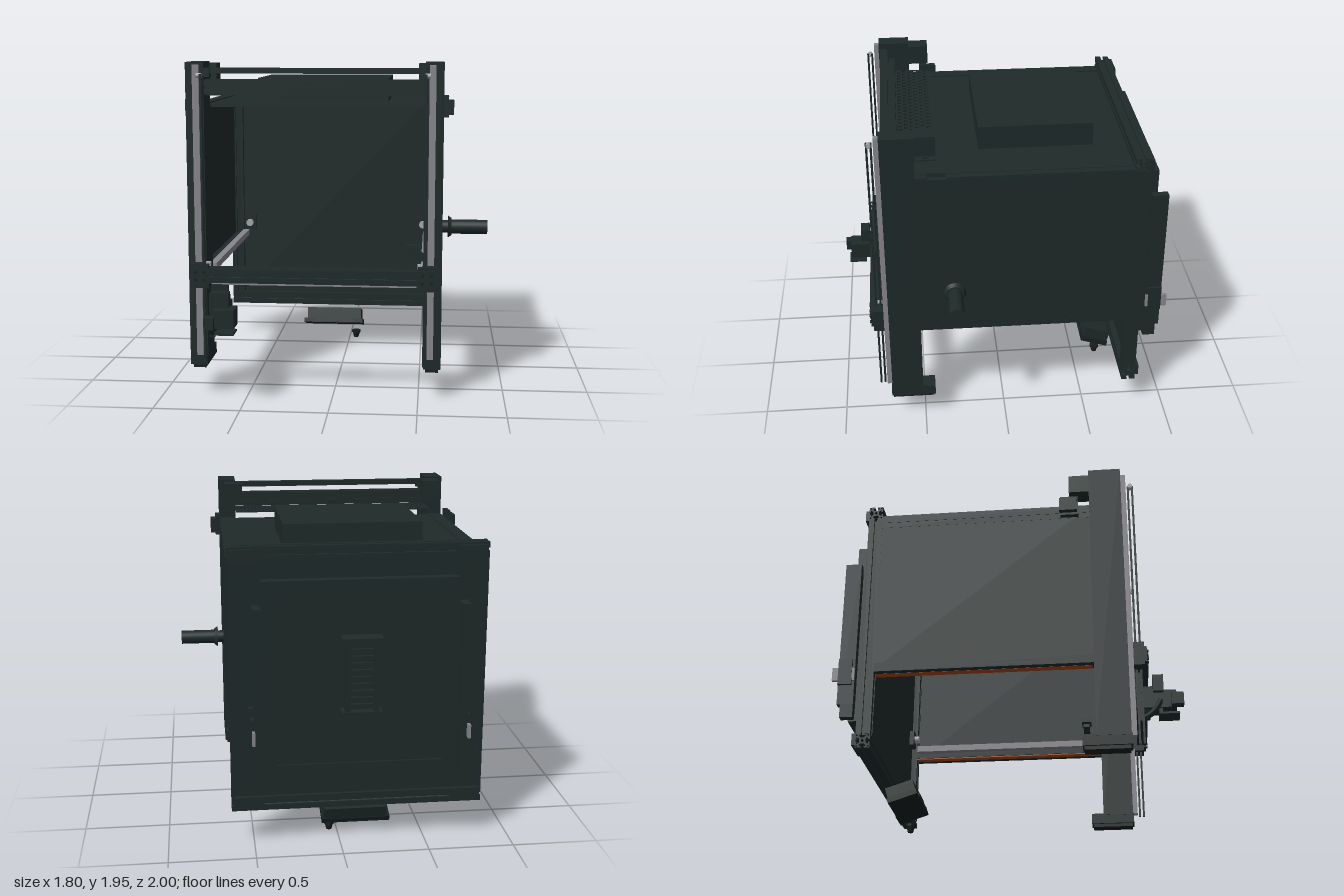
import * as THREE from 'three';

const mat = (name, color) => {
  const m = new THREE.MeshStandardMaterial({ color });
  m.name = name;
  return m;
};

export function createModel() {
  const model = new THREE.Group();
  model.name = 'enclosedGantryMachine';
  const dark = mat('dark slate', 0x1e2a29);
  const black = mat('fitting black', 0x171f1e);
  const steel = mat('rail grey', 0x86868d);
  const silver = mat('light metal', 0xa6a8aa);
  const orange = mat('orange seal', 0xa8481c);
  const CX = -0.105; // mirror plane of the frame

  const add = (name, geo, m, parent = model) => {
    const mesh = new THREE.Mesh(geo, m);
    mesh.name = name;
    parent.add(mesh);
    return mesh;
  };
  // box given by its limits on each axis
  const box = (name, x0, x1, y0, y1, z0, z1, m = dark, parent = model) => {
    const b = add(name, new THREE.BoxGeometry(x1 - x0, y1 - y0, z1 - z0), m, parent);
    b.position.set((x0 + x1) / 2, (y0 + y1) / 2, (z0 + z1) / 2);
    return b;
  };
  // box at a distance from the mirror plane, on both sides
  const pair = (name, d0, d1, y0, y1, z0, z1, m = dark) => {
    box(name + 'Left', CX + d0, CX + d1, y0, y1, z0, z1, m);
    box(name + 'Right', CX - d1, CX - d0, y0, y1, z0, z1, m);
  };
  const cyl = (name, r0, r1, len, axis, x, y, z, m = dark, parent = model, seg = 28) => {
    const g = new THREE.CylinderGeometry(r0, r1, len, seg);
    if (axis === 'x') g.rotateZ(-Math.PI / 2);
    if (axis === 'z') g.rotateX(Math.PI / 2);
    const c = add(name, g, m, parent);
    c.position.set(x, y, z);
    return c;
  };

  // slotted aluminium profile, unit half-width
  const quarter = [[-1, -1], [-0.2, -1], [-0.2, -0.78], [-0.5, -0.78], [-0.25, -0.42],
    [0.25, -0.42], [0.5, -0.78], [0.2, -0.78], [0.2, -1]];
  const beam = (name, w, len, axis, x, y, z) => {
    const pts = [];
    for (let k = 0; k < 4; k++) {
      const c = [1, 0, -1, 0][k], s = [0, 1, 0, -1][k];
      quarter.forEach(([a, b]) => pts.push(new THREE.Vector2(a * c - b * s, a * s + b * c).multiplyScalar(w / 2)));
    }
    const shape = new THREE.Shape(pts);
    [[0, 0, 0.2], [0.78, 0.78, 0.12], [-0.78, 0.78, 0.12], [0.78, -0.78, 0.12], [-0.78, -0.78, 0.12]]
      .forEach(([a, b, r]) => shape.holes.push(new THREE.Path().absarc(a * w / 2, b * w / 2, r * w / 2, 0, Math.PI * 2, true)));
    const g = new THREE.ExtrudeGeometry(shape, { depth: len, bevelEnabled: false, curveSegments: 6 });
    g.translate(0, 0, -len / 2);
    if (axis === 'x') g.rotateY(Math.PI / 2);
    if (axis === 'y') g.rotateX(-Math.PI / 2);
    add(name, g, dark).position.set(x, y, z);
  };

  // front posts, feet, guide rails and motors
  pair('frontPost', 0.63, 0.735, 0.24, 1.955, 0.51, 0.7);
  pair('foot', 0.632, 0.733, 0.185, 0.25, 0.435, 0.705);
  pair('footPad', 0.645, 0.72, 0.165, 0.185, 0.445, 0.695, black);
  pair('verticalRail', 0.652, 0.69, 0.25, 1.94, 0.7, 0.73, steel);
  pair('liftMotor', 0.59, 0.7, 1.83, 1.945, 0.39, 0.51);
  pair('frontBelt', 0.628, 0.64, 0.22, 1.89, 0.763, 0.775);
  pair('rearBelt', 0.628, 0.64, 0.22, 1.89, 0.738, 0.75);
  pair('idlerBracket', 0.595, 0.635, 1.87, 1.92, 0.65, 0.7);
  for (const s of [-1, 1]) cyl('idlerPulley', 0.014, 0.014, 0.03, 'x', CX + s * 0.645, 1.882, 0.757, silver);

  // top cross members at the front
  box('topTieBar', -0.735, 0.525, 1.89, 1.922, 0.645, 0.69);
  beam('topFrontBeam', 0.085, 1.26, 'x', CX, 1.813, 0.645);

  // perforated vent panel with staggered hexagonal holes
  const vent = new THREE.Shape([[-0.63, 0.385], [0.63, 0.385], [0.63, 0.605], [-0.63, 0.605]].map(p => new THREE.Vector2(...p)));
  for (let r = 0; r < 6; r++) {
    for (let i = 0; i < 27; i++) {
      const x = -0.61 + i * 0.046 + (r % 2) * 0.023, z = 0.41 + r * 0.0335;
      const hole = new THREE.Path();
      for (let k = 0; k < 6; k++) {
        const a = -k * Math.PI / 3 + Math.PI / 6;
        hole[k ? 'lineTo' : 'moveTo'](x + 0.016 * Math.cos(a), z + 0.016 * Math.sin(a));
      }
      hole.closePath();
      vent.holes.push(hole);
    }
  }
  const ventGeo = new THREE.ExtrudeGeometry(vent, { depth: 0.008, bevelEnabled: false });
  ventGeo.rotateX(Math.PI / 2);
  add('ventPanel', ventGeo, dark).position.set(CX, 1.769, 0);

  // enclosure: side walls, roof and their edge rails
  pair('sideWall', 0.71, 0.733, 0.69, 1.7, -0.73, 0.51);
  pair('upperSideRail', 0.65, 0.734, 1.625, 1.709, -0.73, 0.51);
  pair('upperRailLip', 0.733, 0.736, 1.66, 1.7, -0.73, 0.51);
  pair('lowerSideRail', 0.65, 0.734, 0.682, 0.73, -0.73, 0.51);
  pair('lowerRailLip', 0.7, 0.735, 0.676, 0.7, -0.73, 0.51);
  pair('orangeSeal', 0.655, 0.7, 0.675, 0.683, -0.73, 0.5, orange);
  pair('roofTrim', 0.65, 0.69, 1.706, 1.712, -0.73, 0.51);
  pair('innerGuideRail', 0.61, 0.65, 0.715, 0.755, -0.72, 0.5, steel);
  pair('innerRailPlate', 0.565, 0.65, 0.75, 0.85, -0.768, -0.74);
  for (const s of [-1, 1]) cyl('innerRailBoss', 0.024, 0.024, 0.03, 'z', CX + s * 0.607, 0.8, -0.725, silver);
  box('roofPanel', -0.77, 0.56, 1.69, 1.706, -0.73, 0.51);
  box('roofHousing', -0.51, 0.295, 1.705, 1.845, -0.535, 0.135);
  pair('sideMount', 0.735, 0.765, 1.63, 1.755, 0.34, 0.445);
  pair('sideMountTab', 0.765, 0.795, 1.645, 1.73, 0.335, 0.44);
  box('innerBracketPlate', 0.41, 0.5, 0.845, 0.868, 0.39, 0.45);
  const clip = box('innerBracketArm', 0.43, 0.53, 0.79, 0.835, 0.4, 0.44);
  clip.rotation.z = -0.5;

  // rear frame and wall
  for (const y of [1.733, 0.26]) beam('rearCrossBeam', 0.083, 1.468, 'x', CX, y, -0.77);
  for (const s of [-1, 1]) beam('rearPost', 0.083, 1.388, 'y', CX + s * 0.692, 0.9975, -0.77);
  box('rearWall', -0.77, 0.56, 0.29, 1.7, -0.79, -0.768);
  for (const [y0, y1] of [[1.69, 1.76], [0.24, 0.31]]) pair('cornerBracket', 0.545, 0.72, y0, y1, -0.835, -0.81);
  pair('rearCatch', 0.555, 0.63, 0.73, 0.85, -0.832, -0.79);

  // rear door: rim, inset panel, edge bars, latches and handle
  const rim = new THREE.Shape([[-0.552, 0.455], [0.552, 0.455], [0.552, 1.6], [-0.552, 1.6]].map(p => new THREE.Vector2(...p)));
  rim.holes.push(new THREE.Path([[-0.48, 0.53], [-0.48, 1.525], [0.48, 1.525], [0.48, 0.53]].map(p => new THREE.Vector2(...p))));
  add('doorRim', new THREE.ExtrudeGeometry(rim, { depth: 0.06, bevelEnabled: false }), dark).position.set(CX, 0, -0.907);
  box('doorPanel', CX - 0.485, CX + 0.485, 0.52, 1.53, -0.895, -0.85);
  pair('doorEdgeBar', 0.56, 0.605, 0.54, 1.46, -0.965, -0.87);
  pair('doorEdgeBarFoot', 0.56, 0.605, 0.46, 0.54, -0.945, -0.87);
  pair('doorBarJoint', 0.53, 0.565, 0.5, 1.44, -0.9, -0.87);
  pair('latchCover', 0.6, 0.62, 0.66, 0.82, -0.965, -0.885);
  pair('latchPlate', 0.6, 0.617, 0.685, 0.765, -1.0, -0.87, steel);
  box('handleBase', -0.19, -0.02, 0.84, 1.255, -0.93, -0.89);
  for (const x of [-0.2, -0.04]) box('handleSide', x, x + 0.03, 0.83, 1.265, -0.983, -0.89);
  for (const y of [0.81, 1.235]) box('handleEnd', -0.22, 0.01, y, y + 0.05, -0.987, -0.89);
  for (let i = 0; i < 9; i++) box('handleRib', -0.185, -0.025, 0.88 + i * 0.04, 0.895 + i * 0.04, -0.95, -0.925);

  // spool holder on the side
  cyl('spoolNeck', 0.038, 0.038, 0.06, 'x', 0.655, 0.963, 0.303);
  cyl('spoolFlange', 0.052, 0.066, 0.022, 'x', 0.676, 0.963, 0.303);
  cyl('spoolTube', 0.043, 0.043, 0.215, 'x', 0.7925, 0.963, 0.303);

  // moving gantry beam with carriages
  beam('gantryBeam', 0.083, 1.22, 'x', CX, 0.743, 0.77);
  box('gantryRail', -0.7, 0.485, 0.677, 0.702, 0.713, 0.745, steel);
  pair('carriage', 0.6, 0.705, 0.665, 0.805, 0.73, 0.79);
  pair('carriagePlate', 0.61, 0.69, 0.69, 0.785, 0.79, 0.805);
  for (const s of [-1, 1]) for (const dx of [-0.025, 0.025]) for (const y of [0.715, 0.76])
    cyl('carriageBolt', 0.009, 0.009, 0.012, 'z', CX + s * 0.65 + dx, y, 0.808, black, model, 10);
  pair('carriageRoller', 0.595, 0.62, 0.79, 0.815, 0.735, 0.765, silver);

  // tool head
  const head = new THREE.Group();
  head.name = 'toolHead';
  model.add(head);
  box('toolPlate', -0.7, -0.6, 0.45, 0.68, 0.735, 0.765, dark, head);
  box('toolBody', -0.655, -0.575, 0.47, 0.6, 0.76, 0.84, dark, head);
  box('toolMotor', -0.68, -0.575, 0.56, 0.66, 0.83, 0.89, dark, head);
  box('toolFan', -0.655, -0.535, 0.47, 0.575, 0.83, 0.96, dark, head);
  box('toolFanFront', -0.7, -0.645, 0.47, 0.54, 0.93, 0.998, dark, head);
  box('toolShelf', -0.645, -0.535, 0.435, 0.447, 0.86, 0.975, dark, head);
  box('toolShelfPost', -0.645, -0.63, 0.44, 0.48, 0.86, 0.88, dark, head);
  cyl('nozzle', 0.024, 0.008, 0.06, 'y', -0.62, 0.44, 0.8, black, head, 12);
  for (const x of [-0.695, -0.665]) {
    const duct = new THREE.QuadraticBezierCurve3(new THREE.Vector3(x, 0.5, 0.87),
      new THREE.Vector3(x, 0.41, 0.83), new THREE.Vector3(x, 0.385, 0.745));
    add('airDuct', new THREE.TubeGeometry(duct, 10, 0.013, 8), dark, head);
  }
  box('ductArm', -0.71, -0.68, 0.37, 0.63, 0.75, 0.775, dark, head);

  // tilted unit hanging under the rear frame, with its small lens
  const unit = new THREE.Group();
  unit.name = 'hangingUnit';
  unit.position.set(-0.1075, 0.155, -0.657);
  unit.rotation.x = -0.31;
  model.add(unit);
  box('unitBody', -0.18, 0.19, -0.022, 0.05, -0.085, 0.085, dark, unit);
  box('unitRim', -0.203, 0.203, -0.052, -0.022, -0.09, 0.09, black, unit);
  box('unitSlot', -0.13, 0.14, -0.045, -0.025, 0.088, 0.094, dark, unit);
  cyl('lensCap', 0.03, 0.03, 0.014, 'y', 0.045, 0.05, -0.655, black);
  cyl('lensCone', 0.026, 0.016, 0.036, 'y', 0.045, 0.026, -0.655, black);

  return model;
}
